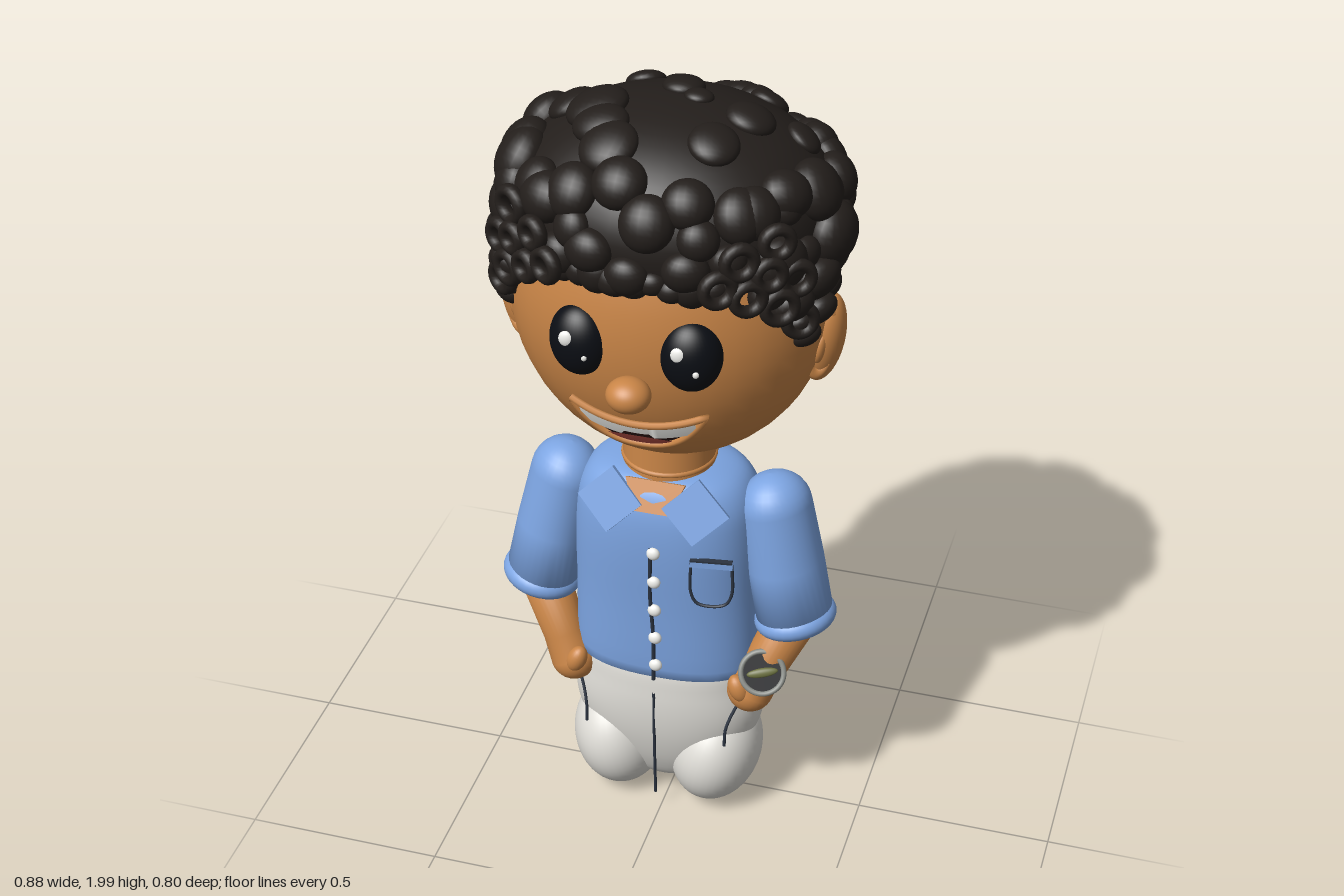
import * as THREE from 'three';
import { toCreasedNormals } from 'three/addons/utils/BufferGeometryUtils.js';
import { ParametricGeometry } from 'three/addons/geometries/ParametricGeometry.js';

const V = (x, y, z) => new THREE.Vector3(x, y, z);
const mat = (color, side = THREE.FrontSide) => new THREE.MeshStandardMaterial({ color, side });
const skin = mat(0xc98547), hairMat = mat(0x231e1b), shirt = mat(0x7da5e2), pants = mat(0xdedcd6);
const black = mat(0x0b0e14), white = mat(0xf2f2ee, THREE.DoubleSide), seamMat = mat(0x2b3340, THREE.DoubleSide);
const ball = new THREE.SphereGeometry(1, 40, 28), smallBall = new THREE.SphereGeometry(1, 22, 14);

function add(parent, name, geo, material, pos = [0, 0, 0], scale = [1, 1, 1], rot = [0, 0, 0]) {
  const m = new THREE.Mesh(geo, material);
  m.name = name;
  m.position.set(...pos);
  m.scale.set(...scale);
  m.rotation.set(...rot);
  parent.add(m);
  return m;
}

// Vertical loft of rounded cross-sections from the bottom up, rings = [y, halfWidth, halfDepth]
function loft(rings, power) {
  const curve = new THREE.CatmullRomCurve3(rings.map(r => V(r[1], r[0], r[2])), false, 'centripetal');
  const se = c => Math.sign(c) * Math.abs(c) ** (2 / power);
  return toCreasedNormals(new ParametricGeometry((u, v, t) => {
    const p = curve.getPoint(v), a = u * Math.PI * 2;
    t.set(p.x * se(Math.cos(a)), p.y, -p.z * se(Math.sin(a)));
  }, 56, 36), 0.8);
}

// Lathed limb from a to b, profile = [radius, distance along the limb]
function limb(parent, name, material, a, b, profile) {
  const m = add(parent, name, new THREE.LatheGeometry(profile.map(p => new THREE.Vector2(...p)), 32), material, a.toArray());
  m.quaternion.setFromUnitVectors(V(0, 1, 0), b.clone().sub(a).normalize());
  return m;
}
const dome = (r, y0, dir) => Array.from({ length: 9 }, (_, i) => {
  const t = i / 8 * Math.PI / 2;
  return dir < 0 ? [r * Math.sin(t), y0 - r * Math.cos(t)] : [r * Math.cos(t), y0 + r * Math.sin(t)];
});
const tube = (pts, r, closed = false) =>
  new THREE.TubeGeometry(new THREE.CatmullRomCurve3(pts, closed), 48, r, 8, closed);

// Head ellipsoid and points on its front
const HEAD = V(0.39, 0.43, 0.33), HEAD_Y = 1.5;
const faceZ = (x, y) => HEAD.z * Math.sqrt(Math.max(0, 1 - (x / HEAD.x) ** 2 - ((y - HEAD_Y) / HEAD.y) ** 2));
const facePatch = (w, low, high, off) => new ParametricGeometry((u, v, t) => {
  const x = (u * 2 - 1) * w, y = THREE.MathUtils.lerp(low(x), high(x), v);
  t.set(x, y, faceZ(x, y) + off);
}, 28, 6);

function buildHead(body) {
  const head = new THREE.Group();
  head.name = 'head';
  body.add(head);
  add(head, 'skull', ball, skin, [0, HEAD_Y, 0], HEAD.toArray());
  add(head, 'nose', ball, skin, [0, 1.4, 0.35], [0.053, 0.042, 0.05]);
  for (const s of [-1, 1]) {
    add(head, 'eye', ball, black, [s * 0.132, 1.495, 0.292], [0.073, 0.09, 0.06], [0, s * 0.15, 0]);
    add(head, 'eyeGlint', smallBall, white, [s * 0.132 - 0.017, 1.52, 0.343], [0.018, 0.02, 0.01]);
    add(head, 'eyeGlintSmall', smallBall, white, [s * 0.132 + 0.025, 1.478, 0.345], [0.008, 0.009, 0.006]);
    add(head, 'ear', ball, skin, [s * 0.372, 1.42, 0.005], [0.05, 0.12, 0.058], [0, 0, -s * 0.15]);
    add(head, 'earRim', new THREE.TorusGeometry(1, 0.22, 12, 36), skin, [s * 0.376, 1.425, 0.042], [0.03, 0.082, 0.055], [0, s * 0.5, -s * 0.15]);
    add(head, 'earInner', smallBall, skin, [s * 0.374, 1.415, 0.045], [0.016, 0.045, 0.028], [0, 0, -s * 0.15]);
  }
  // Smiling open mouth
  const up = x => 1.288 + 0.037 * (x / 0.165) ** 2;
  const lo = x => 1.208 + 0.117 * Math.abs(x / 0.165) ** 2.6;
  add(head, 'mouthInside', facePatch(0.165, lo, up, 0.008), mat(0x2a1412, THREE.DoubleSide));
  add(head, 'tongue', facePatch(0.095, x => lo(x) + 0.004, x => 1.243 - 1.6 * x * x, 0.013), mat(0xa8483f, THREE.DoubleSide));
  add(head, 'teeth', facePatch(0.14, x => Math.max(lo(x) + 0.002, up(x) - (Math.abs(x) < 0.04 ? 0.03 : 0.044)), up, 0.017), white);
  const lip = [];
  for (let i = 0; i < 40; i++) {
    const x = 0.165 * Math.cos(i / 40 * Math.PI * 2), y = i < 20 ? up(x) : lo(x);
    lip.push(V(x, y, faceZ(x, y) + 0.012));
  }
  add(head, 'lips', tube(lip, 0.009, true), skin);
}

function buildHair(body) {
  const hair = new THREE.Group();
  hair.name = 'hair';
  body.add(hair);
  const C = V(0, 1.73, -0.02), R = V(0.385, 0.24, 0.335);
  let seed = 7;
  const rnd = () => (seed = (seed * 16807) % 2147483647) / 2147483647;
  add(hair, 'hairBack', ball, hairMat, [0, 1.5, -0.045], [0.376, 0.4, 0.305]);
  add(hair, 'hairDome', ball, hairMat, C.toArray(), R.toArray());
  // A flattened lump facing away from the middle of the hair
  const lump = (x, y, z, r, flat = 0.75) => {
    const m = add(hair, 'hairLump', smallBall, hairMat, [x, y, z], [r, r * (0.85 + 0.25 * rnd()), r * flat]);
    const normal = V(x, y, z).sub(C).divide(R).divide(R).normalize();
    m.quaternion.setFromUnitVectors(V(0, 0, 1), normal);
  };
  // Crown lumps: x, z, radius
  const crown = [[-.15, -.31, .07], [-.07, -.32, .06], [.05, -.335, .075], [.13, -.29, .055], [-.22, -.27, .05], [-.13, -.23, .05],
    [.17, -.23, .05], [.28, -.23, .06], [.33, -.16, .055], [-.33, -.1, .07], [-.25, -.04, .06], [-.34, .04, .07],
    [0, -.1, .05], [.05, -.05, .035], [.18, -.02, .06], [.13, .11, .06], [-.17, .02, .075], [-.14, .09, .07],
    [-.1, .16, .07], [-.05, .24, .065], [.29, -.08, .045], [.35, .04, .07], [.3, .12, .065], [.11, .25, .06],
    [.22, .22, .06], [-.16, .24, .065], [-.26, .19, .06], [-.34, .12, .06]];
  for (const [x, z, r] of crown) {
    const k = 1 - (x / R.x) ** 2 - ((z - C.z) / R.z) ** 2;
    lump(x, C.y + R.y * Math.sqrt(Math.max(k, 0)), z, r, k > 0.4 ? 0.5 : 0.75);
  }
  // Bands of lumps around the rim and brow
  for (let row = 0; row < 2; row++) {
    const n = 22 - row * 5;
    for (let i = 0; i < n; i++) {
      const a = (i + rnd() * 0.7) / n * Math.PI * 2, e = -0.2 + row * 0.38 + rnd() * 0.24;
      lump(R.x * Math.cos(e) * Math.cos(a), C.y + R.y * Math.sin(e), C.z + R.z * Math.cos(e) * Math.sin(a), 0.042 + rnd() * 0.032);
    }
  }
  lump(0.385, 1.71, 0.03, 0.08);
  for (let i = 0; i < 15; i++) {
    const x = -0.31 + i * 0.044;
    lump(x, 1.655 + rnd() * 0.02, faceZ(x, 1.655) - 0.004, 0.034 + rnd() * 0.014, 0.8);
  }
  // Sideburns and ringlets
  const sides = [[.37, 1.63, .1, .065], [.375, 1.55, .1, .05], [.355, 1.495, .13, .04], [.335, 1.6, .18, .055],
    [.37, 1.64, 0, .07], [.37, 1.57, .03, .05], [.365, 1.61, -.06, .06], [.29, 1.64, .22, .05], [.345, 1.535, .15, .04]];
  const curls = [[.2, 1.69, .3], [.26, 1.66, .265], [.3, 1.71, .235], [.24, 1.75, .27], [.32, 1.62, .215], [.35, 1.68, .18], [.355, 1.56, .16], [.31, 1.78, .21]];
  for (const s of [-1, 1]) {
    for (const [x, y, z, r] of sides) lump(s * x, y, z, r, 0.7);
    for (const [x, y, z] of curls) {
      const g = new THREE.TorusGeometry(0.028 + rnd() * 0.008, 0.014, 10, 22);
      add(hair, 'hairCurl', g, hairMat, [s * x, y, z + 0.02], [1, 1, 1.3], [0, s * 0.6, 0]);
    }
  }
}

function buildTorso(body) {
  add(body, 'neck', new THREE.CylinderGeometry(0.112, 0.117, 0.16, 40), skin, [0, 1.05, 0.02]);
  add(body, 'neckBand', new THREE.TorusGeometry(0.111, 0.008, 10, 40), skin, [0, 1.04, 0.02], [1, 1, 1], [Math.PI / 2, 0, 0]);
  add(body, 'shirtBody', loft([[0.44, 0, 0], [0.44, 0.236, 0.143], [0.445, 0.238, 0.146], [0.65, 0.236, 0.157], [0.86, 0.234, 0.168],
    [0.95, 0.222, 0.16], [1, 0.19, 0.14], [1.025, 0.13, 0.11], [1.03, 0, 0]], 2.4), shirt, [0, 0, 0.02]);
  // Open neckline with collar points
  const v = new THREE.Shape([[-0.045, 0], [0.045, 0], [0.075, 0.08], [-0.075, 0.08]].map(p => new THREE.Vector2(...p)));
  add(body, 'neckline', new THREE.ExtrudeGeometry(v, { depth: 0.012, bevelEnabled: false }), skin, [0, 0.952, 0.172], [1, 1, 1], [-0.5, 0, 0]);
  for (const s of [-1, 1]) {
    const flap = new THREE.BoxGeometry(0.118, 0.118, 0.012).rotateZ(Math.PI / 4);
    add(body, 'collar', flap, shirt, [s * 0.108, 0.97, 0.166], [1, 1, 1], [-0.35, s * 0.1, 0]);
  }
  // Placket, buttons and chest pocket
  add(body, 'placket', tube([V(0, 0.86, 0.187), V(-0.003, 0.72, 0.184), V(0.002, 0.58, 0.175), V(0, 0.435, 0.167)], 0.005), seamMat);
  for (let i = 0; i < 5; i++) add(body, 'button', smallBall, white, [0.008, 0.845 - i * 0.089, 0.191 - i * 0.004], [0.017, 0.017, 0.012]);
  const pz = 0.178;
  add(body, 'pocketSeam', tube([V(0.1, 0.83, pz), V(0.1, 0.74, pz), V(0.115, 0.71, pz), V(0.15, 0.702, pz - 0.005),
    V(0.185, 0.71, pz - 0.012), V(0.2, 0.74, pz - 0.015), V(0.2, 0.83, pz - 0.015)], 0.004), seamMat);
  add(body, 'pocketEdge', new THREE.BoxGeometry(0.106, 0.016, 0.014), shirt, [0.15, 0.828, pz - 0.006], [1, 1, 1], [0, 0.15, 0]);
  add(body, 'pocketTopSeam', new THREE.BoxGeometry(0.104, 0.006, 0.014), seamMat, [0.15, 0.838, pz - 0.006], [1, 1, 1], [0, 0.15, 0]);
}

function buildArms(body) {
  for (const s of [-1, 1]) {
    const shoulder = V(s * 0.27, 0.93, 0.02), elbow = V(s * 0.333, 0.62, 0.04), hand = V(s * 0.235, 0.405, 0.095);
    const len = shoulder.distanceTo(elbow), fore = elbow.distanceTo(hand);
    limb(body, 'sleeve', shirt, shoulder, elbow, [...dome(0.087, 0, -1), [0.092, len * 0.5], [0.092, len], [0, len]]).scale.z = 1.08;
    const cuff = limb(body, 'cuff', shirt, elbow, elbow.clone().add(elbow).sub(shoulder), Array.from({ length: 17 }, (_, i) => {
      const t = (i / 16 - 0.5) * Math.PI;
      return [i % 16 ? 0.068 + 0.033 * Math.cos(t) : 0, 0.03 * Math.sin(t)];
    }));
    cuff.scale.z = 1.05;
    limb(body, 'forearm', skin, elbow, hand, [[0, 0], [0.064, 0], [0.056, fore * 0.7], ...dome(0.06, fore, 1)]);
    add(body, 'thumb', smallBall, skin, [s * 0.215, 0.43, 0.135], [0.026, 0.04, 0.026], [0, 0, s * 0.4]);
  }
  // Wristwatch on the left arm
  const watch = new THREE.Group();
  watch.name = 'watch';
  watch.position.set(0.274, 0.492, 0.13);
  watch.rotation.set(-0.5, 0.2, -0.1);
  body.add(watch);
  add(watch, 'watchCase', new THREE.CylinderGeometry(0.056, 0.056, 0.03, 32), black, [0, 0, -0.004], [1, 1, 1], [Math.PI / 2, 0, 0]);
  add(watch, 'watchBezel', new THREE.TorusGeometry(0.054, 0.007, 10, 36), mat(0x8a8d88), [0, 0, 0.01]);
  add(watch, 'watchDial', smallBall, mat(0x6b7040), [0, 0, 0.012], [0.04, 0.012, 0.008], [0, 0, 0.4]);
}

function buildPants(body) {
  add(body, 'pelvis', loft([[0.05, 0, 0], [0.06, 0.08, 0.07], [0.13, 0.18, 0.115], [0.22, 0.232, 0.142], [0.3, 0.25, 0.152],
    [0.38, 0.24, 0.15], [0.46, 0.22, 0.135], [0.47, 0, 0]], 2.15), pants, [0, 0, 0.015]);
  add(body, 'frontSeam', tube([V(0, 0.39, 0.166), V(0, 0.22, 0.162), V(0, 0.05, 0.153)], 0.004), seamMat);
  for (const s of [-1, 1]) {
    add(body, 'leg', ball, pants, [s * 0.131, 0.149, 0.032], [0.118, 0.151, 0.147], [0, 0, -s * 0.2]);
    add(body, 'pocketLine', tube([V(s * 0.225, 0.395, 0.105), V(s * 0.2, 0.345, 0.13), V(s * 0.186, 0.3, 0.15), V(s * 0.184, 0.25, 0.155)], 0.004), seamMat);
  }
}

export function createModel() {
  const model = new THREE.Group();
  model.name = 'boyFigure';
  const body = new THREE.Group();
  body.name = 'figure';
  body.position.x = -0.012;
  model.add(body);
  buildHead(body);
  buildHair(body);
  buildTorso(body);
  buildArms(body);
  buildPants(body);
  return model;
}
